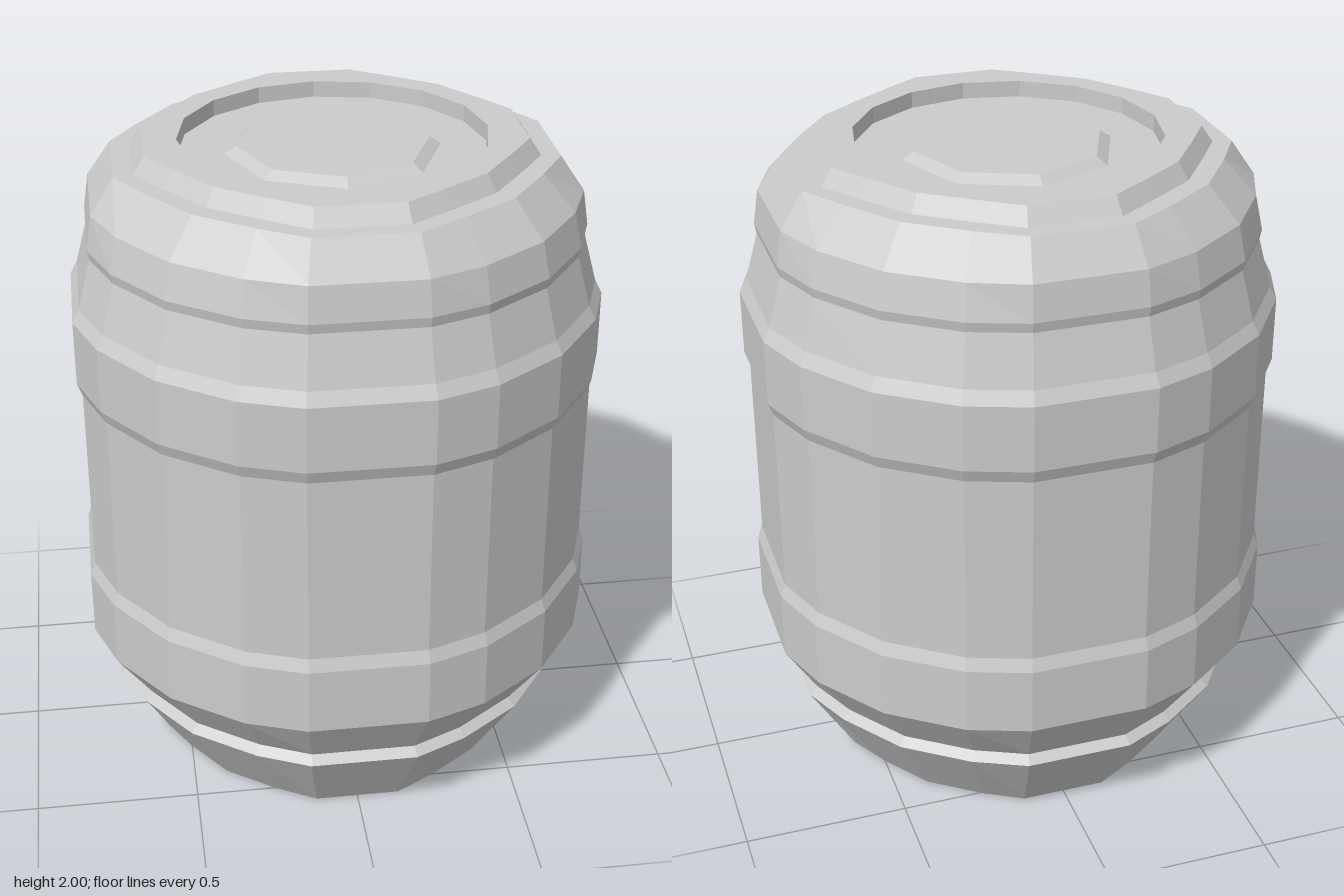
import * as THREE from 'three';

const material = new THREE.MeshStandardMaterial({ color: 0xcccccc, flatShading: true });

// Plan angles of one quadrant, in degrees; the barrel has 20 uneven sides
const quadrant = [12.8, 26.6, 45, 63.4, 77.2];
const angles = [];
for (let q = 0; q < 4; q++) for (const a of quadrant) angles.push(THREE.MathUtils.degToRad(a + q * 90));

// Plan point of a ring: half = half width, k = how far the corners are pulled in
function planPoint(i, half, k) {
  const a = angles[i % 20];
  const step = i % 5;
  const r = (half / Math.cos(angles[0])) * (step === 0 || step === 4 ? 1 : k);
  return [Math.sin(a) * r, Math.cos(a) * r];
}

// Profile rings from the base up: half width, height, corner factor
const rings = [
  [0, 0, 1], [0.57, 0, 0.96], [0.715, 0.25, 0.98], [0.69, 0.275, 0.98],
  [0.788, 0.44, 1], [0.788, 0.65, 1], [0.773, 0.69, 1],
  [0.773, 1.28, 1], [0.788, 1.32, 1], [0.788, 1.52, 1], [0.767, 1.56, 1],
  [0.727, 1.71, 1], [0.733, 1.74, 1], [0.717, 1.845, 0.99],
  [0.646, 1.95, 0.95], [0.59, 1.95, 0.94], [0.556, 2, 0.94],
];

function add(group, name, geometry, y = 0) {
  const mesh = new THREE.Mesh(geometry, material);
  mesh.name = name;
  mesh.position.y = y;
  group.add(mesh);
}

export function createModel() {
  const group = new THREE.Group();
  group.name = 'barrel';

  // Body: a lathe whose rings are moved onto the uneven plan
  const body = new THREE.LatheGeometry(rings.map(([r, y]) => new THREE.Vector2(r, y)), 20);
  const pos = body.attributes.position;
  for (let i = 0; i <= 20; i++) {
    rings.forEach(([half, y, k], j) => {
      const [x, z] = planPoint(i, half, k);
      pos.setXYZ(i * rings.length + j, x, y, z);
    });
  }
  body.computeVertexNormals();
  add(group, 'barrelBody', body);

  // Flat rim with a 16-sided opening
  const rim = new THREE.Shape(angles.map((_, i) => new THREE.Vector2(...planPoint(i, 0.556, 0.94))));
  const hole = [];
  for (let i = 0; i < 16; i++) {
    const a = (i * Math.PI) / 8;
    hole.push(new THREE.Vector2(Math.sin(a) * 0.457, Math.cos(a) * 0.457));
  }
  rim.holes.push(new THREE.Path(hole));
  add(group, 'topRim', new THREE.ShapeGeometry(rim).rotateX(-Math.PI / 2), 2);

  // Recessed lid: inner wall and floor
  const recess = [[0.457, 2], [0.457, 1.95], [0, 1.95]].map(([r, y]) => new THREE.Vector2(r, y));
  add(group, 'lidRecess', new THREE.LatheGeometry(recess, 16));

  // Low eight-sided boss in the middle of the lid
  add(group, 'lidBoss', new THREE.CylinderGeometry(0.285, 0.32, 0.022, 8), 1.961);

  return group;
}
